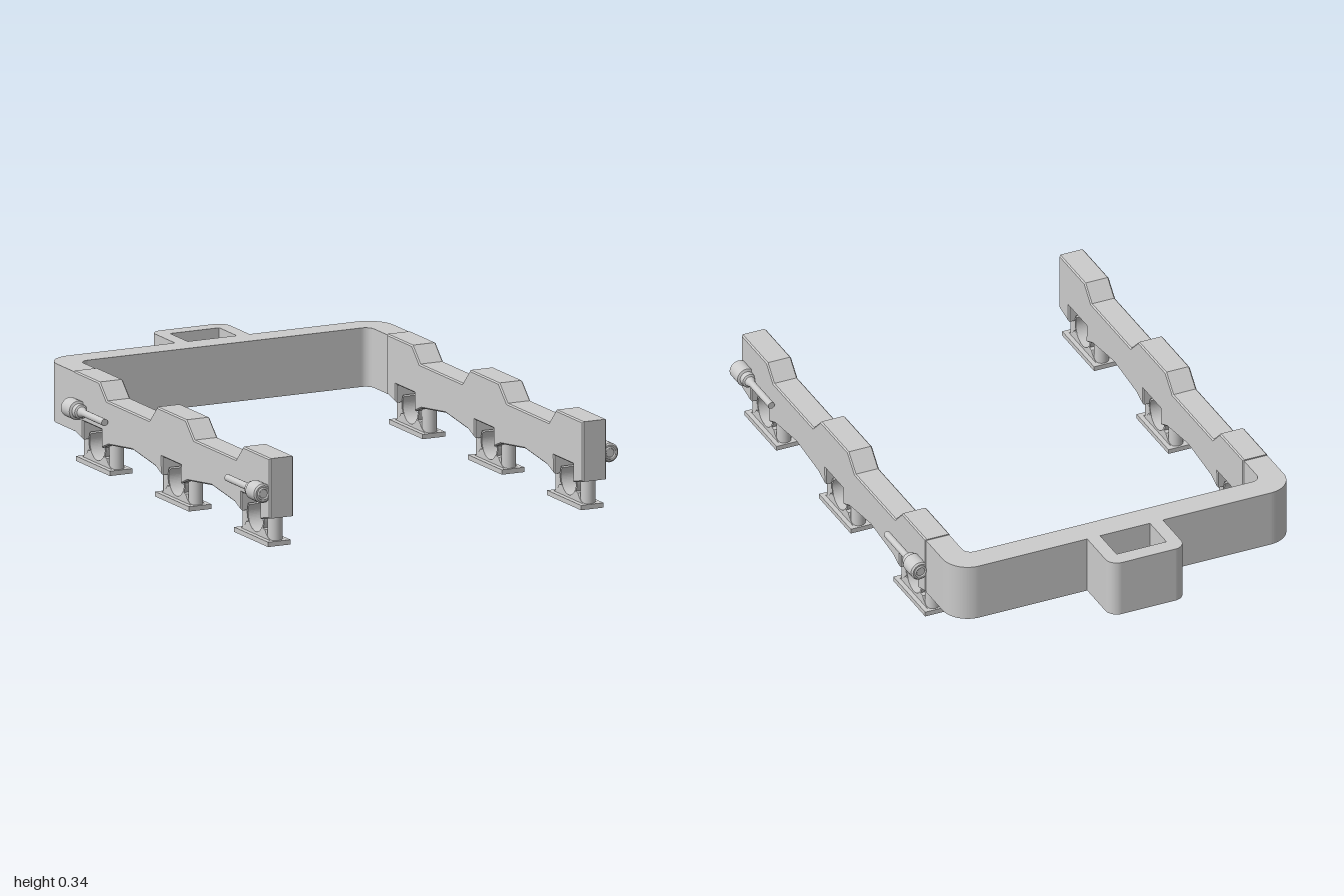
import * as THREE from 'three';

const material = new THREE.MeshStandardMaterial({ color: 0xcccccc });

function mesh(name, geometry) {
  const m = new THREE.Mesh(geometry, material);
  m.name = name;
  return m;
}

// Extrude a [z, y] outline along x, centred on x = 0
function extrudeAcross(shape, width, bevel = 0) {
  const g = new THREE.ExtrudeGeometry(shape, {
    depth: width - 2 * bevel, bevelEnabled: bevel > 0, bevelThickness: bevel,
    bevelSize: bevel, bevelOffset: -bevel, bevelSegments: 1, curveSegments: 24,
  });
  return g.translate(0, 0, -width / 2 + bevel).rotateY(Math.PI / 2);
}

// Extrude a plan outline (x, -z) upward
function extrudeUp(shape, y0, y1) {
  const g = new THREE.ExtrudeGeometry(shape, { depth: y1 - y0, bevelEnabled: false, curveSegments: 12 });
  return g.rotateX(-Math.PI / 2).translate(0, y0, 0);
}

const outline = (pts) => new THREE.Shape(pts.map(([z, y]) => new THREE.Vector2(-z, y)));

const FEET = [0.845, 0.215, -0.415];
const RAIL_X = 0.638;

// Side rail: raised pads on top, shallow arches and square clip notches below
function railGeometry() {
  const top = [
    [-0.56, 0.334], [-0.36, 0.334], [-0.3, 0.276], [0.04, 0.276], [0.1, 0.338],
    [0.33, 0.338], [0.395, 0.276], [0.73, 0.276], [0.785, 0.334], [1, 0.334],
  ];
  const bottom = [[1, 0.11]];
  FEET.forEach((c, i) => {
    bottom.push([c + 0.075, 0.092], [c + 0.075, 0.16], [c - 0.075, 0.16], [c - 0.075, 0.092]);
    if (i < 2) bottom.push([c - 0.13, 0.114], [c - 0.31, 0.137], [c - 0.5, 0.114]);
  });
  bottom.push([-0.56, 0.11]);
  return extrudeAcross(outline([...top, ...bottom]), 0.098, 0.005);
}

// Foot: base plate, curved saddle, open round clip and two pegs
function foot() {
  const g = new THREE.Group();
  g.name = 'foot';
  const plate = mesh('basePlate', new THREE.BoxGeometry(0.092, 0.018, 0.27));
  plate.position.y = 0.009;
  g.add(plate);

  const cy = 0.088, r = 0.06;
  const saddle = new THREE.Shape();
  saddle.moveTo(-0.125, 0.016);
  saddle.lineTo(0.125, 0.016);
  saddle.quadraticCurveTo(0.09, 0.025, 0.075, 0.05);
  saddle.lineTo(r * Math.cos(-0.6), cy + r * Math.sin(-0.6));
  saddle.absarc(0, cy, r, -0.6, -Math.PI + 0.6, true);
  saddle.lineTo(-0.075, 0.05);
  saddle.quadraticCurveTo(-0.09, 0.025, -0.125, 0.016);
  g.add(mesh('saddle', extrudeAcross(saddle, 0.056)));

  const a0 = Math.PI * 5 / 6, a1 = Math.PI * 13 / 6;
  const ring = new THREE.Shape();
  ring.absarc(0, cy, r + 0.008, a0, a1, false);
  ring.absarc(0, cy, r, a1, a0, true);
  g.add(mesh('clip', extrudeAcross(ring, 0.054)));

  for (const s of [-1, 1]) {
    const peg = mesh('peg', new THREE.CylinderGeometry(0.027, 0.027, 0.1, 24));
    peg.position.set(0, 0.062, s * 0.1);
    g.add(peg);
  }
  return g;
}

// Stepped pin lying along z, thick end at z = 0, rod toward +z
function pin() {
  const steps = [
    [0, 0], [0.03, 0], [0.036, 0.006], [0.036, 0.072], [0.027, 0.076], [0.027, 0.098],
    [0.02, 0.102], [0.013, 0.122], [0.013, 0.285], [0, 0.285],
  ];
  const g = new THREE.Group();
  g.name = 'lockPin';
  // Separate bands keep the steps crisp
  for (let i = 0; i < steps.length - 1; i++) {
    const band = steps.slice(i, i + 2).map(([x, y]) => new THREE.Vector2(x, y));
    g.add(mesh('pinBand', new THREE.LatheGeometry(band, 28).rotateX(Math.PI / 2)));
  }
  // Hollow-looking rim on the thick end
  g.add(mesh('pinRim', new THREE.TorusGeometry(0.02, 0.004, 8, 28)));
  return g;
}

// U-shaped rear frame with rounded corners
function frameGeometry() {
  const o = 0.685, i = 0.592, end = 0.56, back = 0.8, inner = 0.702, R = 0.1, r = 0.035;
  const s = new THREE.Shape();
  s.moveTo(o, end);
  s.lineTo(o, back - R);
  s.absarc(o - R, back - R, R, 0, Math.PI / 2, false);
  s.lineTo(-o + R, back);
  s.absarc(-o + R, back - R, R, Math.PI / 2, Math.PI, false);
  s.lineTo(-o, end);
  s.lineTo(-i, end);
  s.lineTo(-i, inner - r);
  s.absarc(-i + r, inner - r, r, Math.PI, Math.PI / 2, true);
  s.lineTo(i - r, inner);
  s.absarc(i - r, inner - r, r, Math.PI / 2, 0, true);
  s.lineTo(i, end);
  return extrudeUp(s, 0.11, 0.33);
}

// Rectangular loop handle behind the frame
function handleGeometry() {
  const w = 0.152, h = 0.1, R = 0.045;
  const s = new THREE.Shape();
  s.moveTo(w, 0.8);
  s.lineTo(w, 1 - R);
  s.absarc(w - R, 1 - R, R, 0, Math.PI / 2, false);
  s.lineTo(-w + R, 1);
  s.absarc(-w + R, 1 - R, R, Math.PI / 2, Math.PI, false);
  s.lineTo(-w, 0.8);
  s.lineTo(-h, 0.8);
  s.lineTo(-h, 0.94);
  s.lineTo(h, 0.94);
  s.lineTo(h, 0.8);
  return extrudeUp(s, 0.11, 0.33);
}

export function createModel() {
  const model = new THREE.Group();
  model.name = 'carrierFrame';
  model.add(mesh('rearFrame', frameGeometry()), mesh('handle', handleGeometry()));

  for (const side of [1, -1]) {
    const arm = new THREE.Group();
    arm.name = side > 0 ? 'leftArm' : 'rightArm';
    const rail = mesh('rail', railGeometry());
    rail.position.x = side * RAIL_X;
    arm.add(rail);
    for (const z of FEET) {
      const f = foot();
      f.position.set(side * RAIL_X, 0, z);
      arm.add(f);
    }
    // Pins on the outer face, thick ends outward
    const front = pin(), rear = pin();
    front.position.set(side * 0.707, 0.203, 0.988);
    front.rotation.y = Math.PI;
    rear.position.set(side * 0.707, 0.203, -0.56);
    arm.add(front, rear);
    model.add(arm);
  }
  return model;
}
